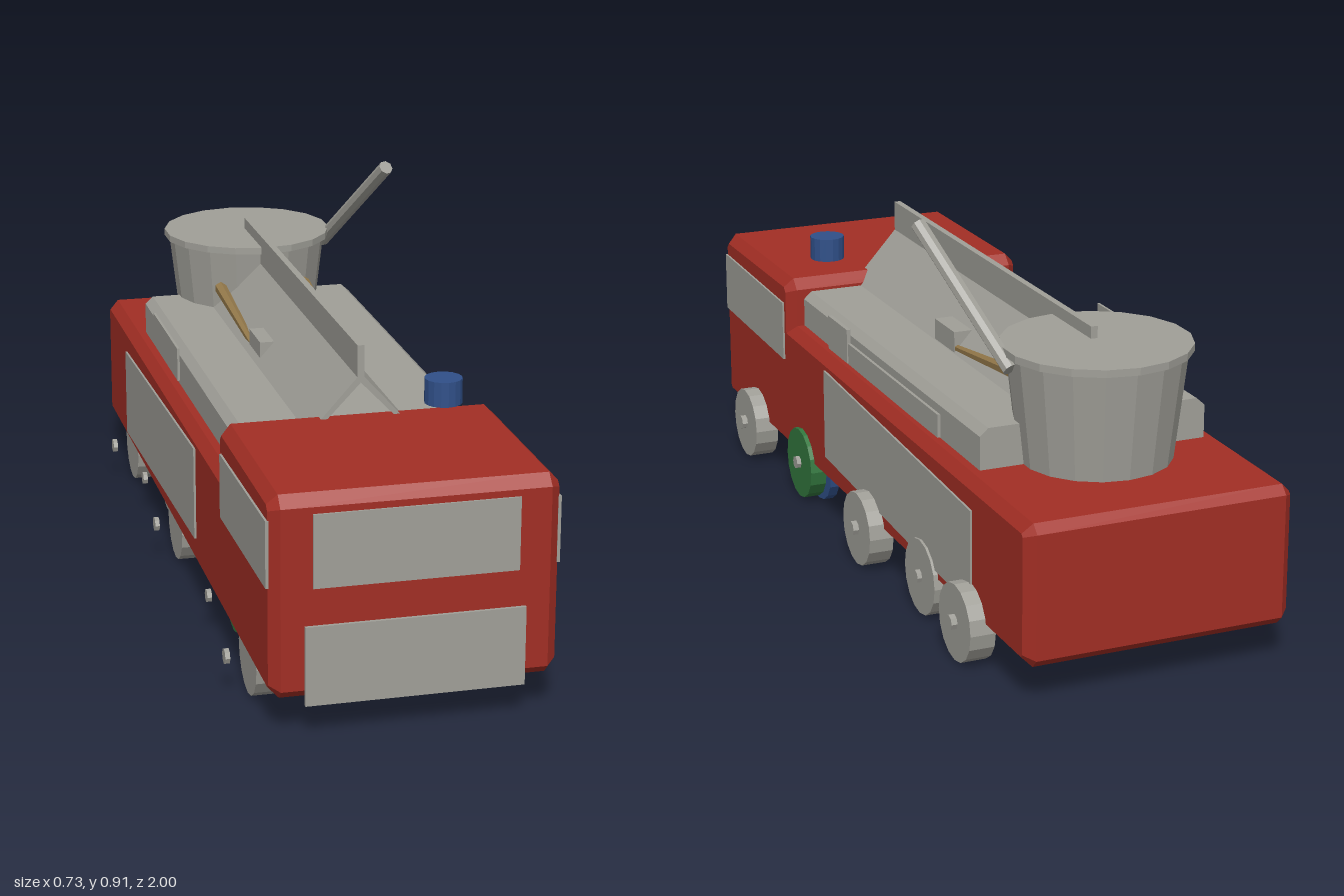
import * as THREE from 'three';

const mat = (name, color) => {
  const m = new THREE.MeshStandardMaterial({ color });
  m.name = name;
  return m;
};

export function createModel() {
  const red = mat('red paint', 0xa22e24);
  const gray = mat('gray metal', 0xa09f98);
  const blue = mat('blue', 0x305089);
  const green = mat('green', 0x32773e);
  const tan = mat('tan wood', 0x94794a);
  const olive = mat('olive', 0x7a6120);
  const model = new THREE.Group();

  const add = (name, geometry, material, x = 0, y = 0, z = 0) => {
    let g = geometry;
    if (g.index) g = g.toNonIndexed();
    g.computeVertexNormals();
    const mesh = new THREE.Mesh(g, material);
    mesh.name = name;
    mesh.position.set(x, y, z);
    model.add(mesh);
    return mesh;
  };
  // Box given by its limits on each axis
  const block = (name, material, [x0, x1], [y0, y1], [z0, z1]) =>
    add(name, new THREE.BoxGeometry(x1 - x0, y1 - y0, z1 - z0), material,
      (x0 + x1) / 2, (y0 + y1) / 2, (z0 + z1) / 2);
  const shape = (pts) => new THREE.Shape(pts.map(([a, b]) => new THREE.Vector2(a, b)));
  // Side outline (z, y) extruded across x with chamfered edges
  const sideExtrude = (name, material, pts, x0, x1, bevel) => {
    const g = new THREE.ExtrudeGeometry(shape(pts), {
      depth: x1 - x0 - 2 * bevel, bevelEnabled: bevel > 0, bevelSegments: 1,
      bevelSize: bevel, bevelThickness: bevel, bevelOffset: -bevel,
    });
    g.rotateY(-Math.PI / 2).translate(x1 - bevel, 0, 0);
    return add(name, g, material);
  };
  // Cylinder between two points
  const rod = (name, material, a, b, r0, r1, sides) => {
    const p = new THREE.Vector3(...a), q = new THREE.Vector3(...b);
    const d = q.clone().sub(p);
    const mesh = add(name, new THREE.CylinderGeometry(r1, r0, d.length(), sides), material);
    mesh.position.copy(p.add(q).multiplyScalar(0.5));
    mesh.quaternion.setFromUnitVectors(new THREE.Vector3(0, 1, 0), d.normalize());
    return mesh;
  };

  // Long body with raised cab
  sideExtrude('body', red, [
    [-1, 0.11], [-0.98, 0.09], [0.97, 0.09], [0.99, 0.11], [0.99, 0.52], [0.965, 0.545],
    [0.5, 0.545], [0.475, 0.52], [0.475, 0.425], [-0.98, 0.415], [-1, 0.395],
  ], -0.322, 0.312, 0.023);

  // Front window and bumper plate
  block('frontWindow', gray, [-0.23, 0.22], [0.34, 0.505], [0.988, 0.995]);
  block('bumperPlate', gray, [-0.248, 0.236], [0.076, 0.256], [0.99, 0.998]);

  // Side windows and side panels
  const panel = [[0.21, 0.165], [0.21, 0.39], [-0.71, 0.35], [-0.71, 0.125]].reverse();
  const sideWindow = [[0.97, 0.34], [0.97, 0.49], [0.51, 0.48], [0.51, 0.33]].reverse();
  for (const [side, x] of [['left', 0.31], ['right', -0.327]]) {
    sideExtrude(side + 'Panel', gray, panel, x, x + 0.007, 0);
    sideExtrude(side + 'Window', gray, sideWindow, x, x + 0.007, 0);
  }

  // Deck box with chamfered edges
  const deck = new THREE.ExtrudeGeometry(shape([
    [-0.28, 0.41], [0.27, 0.41], [0.27, 0.495], [0.25, 0.513], [-0.26, 0.513], [-0.28, 0.495],
  ]), { depth: 1.13, bevelEnabled: false });
  add('deckBox', deck, gray, 0, 0, -0.655);
  block('leftDeckPlate', gray, [0.27, 0.277], [0.42, 0.475], [-0.43, 0.225]);
  block('leftDeckTab', gray, [0.27, 0.28], [0.425, 0.51], [0.14, 0.27]);
  block('rightDeckPlate', gray, [-0.314, -0.308], [0.477, 0.558], [-0.35, -0.04]);

  // Hollow pitched roof with upright ridge
  const roof = new THREE.ExtrudeGeometry(shape([
    [-0.125, 0.508], [-0.112, 0.508], [0, 0.625], [0.112, 0.508], [0.125, 0.508],
    [0.008, 0.638], [0.008, 0.712], [-0.008, 0.712], [-0.008, 0.638],
  ]), { depth: 1.17, bevelEnabled: false });
  add('pitchedRoof', roof, gray, -0.005, 0, -0.65);

  // Handles on the roof slopes
  for (const s of [1, -1]) {
    block('handleBox', gray, [s * 0.09 - 0.024, s * 0.09 + 0.024], [0.51, 0.565], [-0.14, -0.02]);
    rod('handleRod', tan, [s * 0.105, 0.522, -0.12], [s * 0.11, 0.57, -0.5], 0.008, 0.016, 6);
  }

  // Tub with rim and lid
  const tub = new THREE.LatheGeometry([
    [0, 0.41], [0.173, 0.41], [0.203, 0.667], [0.215, 0.667], [0.215, 0.684], [0, 0.684],
  ].map(([r, y]) => new THREE.Vector2(r, y)), 18);
  add('tub', tub, gray, -0.006, 0, -0.66);
  rod('pole', gray, [0.198, 0.64, -0.655], [0.288, 0.9, -0.35], 0.018, 0.018, 8);

  // Beacon above the cab
  add('beacon', new THREE.CylinderGeometry(0.043, 0.043, 0.058, 16), blue, 0.178, 0.604, 0.55);

  // Wheels
  const disc = (name, material, x0, x1, z, r = 0.09, y = 0.09, sides = 16) => {
    const g = new THREE.CylinderGeometry(r, r, x1 - x0, sides);
    g.rotateZ(Math.PI / 2);
    add(name, g, material, (x0 + x1) / 2, y, z);
  };
  for (const z of [0.735, -0.095, -0.7]) {
    disc('leftWheel', gray, 0.29, 0.35, z);
    disc('leftHub', gray, 0.35, 0.364, z, 0.018, 0.092, 8);
    disc('rightWheel', gray, -0.315, -0.265, z);
    disc('rightHub', gray, -0.368, -0.357, z, 0.018, 0.092, 8);
  }
  for (const [z, paint, inner] of [[0.387, green, 0.355], [-0.43, gray, -0.45]]) {
    disc('leftWheel', paint, 0.28, 0.323, z);
    disc('leftHub', gray, 0.323, 0.334, z, 0.016, 0.092, 8);
    disc('leftInnerWheel', blue, 0.258, 0.282, inner);
    disc('rightWheel', paint, -0.272, -0.245, z);
    disc('rightInnerWheel', blue, -0.247, -0.222, inner);
    disc('rightHub', gray, -0.336, -0.325, z, 0.016, 0.092, 8);
  }

  // Painted patches on the underside, outlines in (x, z)
  const patches = [
    [gray, [[0.27, -0.1], [0.18, -0.17], [-0.15, -0.2], [-0.2, -0.13], [-0.1, -0.04], [0.18, -0.02]]],
    [blue, [[0.1, 0.33], [-0.25, 0.3], [-0.25, 0.48], [-0.1, 0.5]]],
    [blue, [[0.25, -0.7], [0.05, -0.78], [-0.25, -0.62], [-0.22, -0.5], [0, -0.6]]],
    [olive, [[0.28, 0.58], [0.28, 0.5], [0.1, 0.48], [0.15, 0.56]]],
    [olive, [[0.2, 0.27], [0.1, 0.18], [0.02, 0.22], [0.08, 0.33]]],
    [olive, [[0.28, -0.25], [0.25, -0.34], [0.1, -0.26], [0.2, -0.2]]],
    [olive, [[0.17, -0.64], [0.08, -0.72], [0, -0.68], [0.06, -0.6]]],
  ];
  for (const [material, pts] of patches) {
    const g = new THREE.ExtrudeGeometry(shape(pts), { depth: 0.005, bevelEnabled: false });
    add('undersidePatch', g.rotateX(Math.PI / 2), material, 0, 0.092, 0);
  }
  return model;
}
